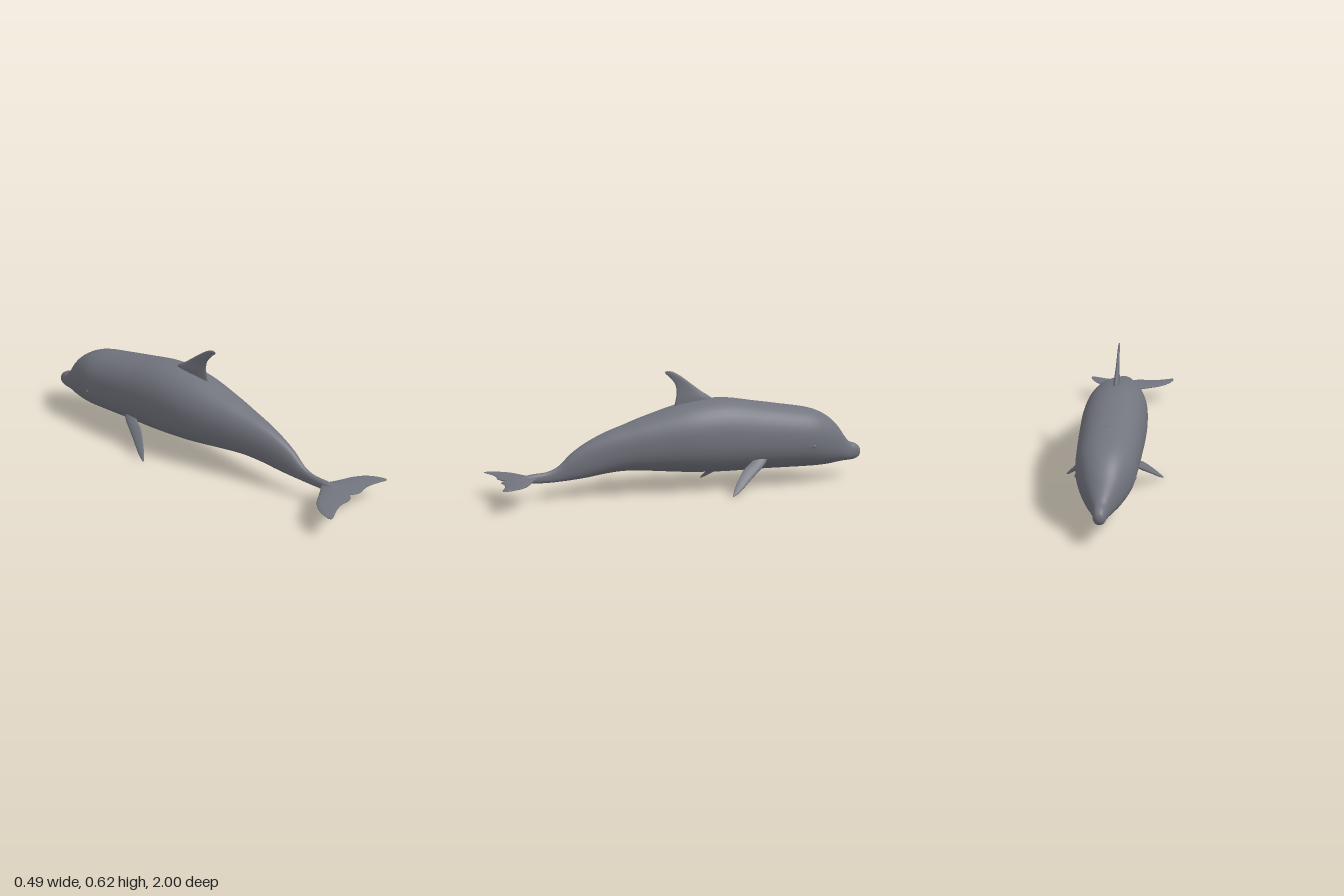
import * as THREE from 'three';

const skin = new THREE.MeshStandardMaterial({ color: 0x72747e });
skin.name = 'slate grey skin';

// Closed smooth surface through a list of point rings, always wound outwards
function loft(name, rings) {
  const n = rings[0].length, pos = [], idx = [];
  rings.forEach(r => r.forEach(p => pos.push(p.x, p.y, p.z)));
  for (let i = 0; i < rings.length - 1; i++) {
    for (let j = 0; j < n; j++) {
      const a = i * n + j, b = i * n + (j + 1) % n;
      idx.push(a, b, a + n, b, b + n, a + n);
    }
  }
  const cap = (row, flip) => {
    const c = new THREE.Vector3();
    rings[row].forEach(p => c.addScaledVector(p, 1 / n));
    const centre = pos.length / 3;
    pos.push(c.x, c.y, c.z);
    for (let j = 0; j < n; j++) {
      const a = row * n + j, b = row * n + (j + 1) % n;
      idx.push(centre, flip ? b : a, flip ? a : b);
    }
  };
  cap(0, true);
  cap(rings.length - 1, false);

  // A negative enclosed volume means the faces point inwards
  const v = i => new THREE.Vector3().fromArray(pos, i * 3);
  let volume = 0;
  for (let i = 0; i < idx.length; i += 3) volume += v(idx[i]).dot(v(idx[i + 1]).cross(v(idx[i + 2])));
  if (volume < 0) idx.reverse();

  const geo = new THREE.BufferGeometry();
  geo.setAttribute('position', new THREE.Float32BufferAttribute(pos, 3));
  geo.setIndex(idx);
  geo.computeVertexNormals();
  const mesh = new THREE.Mesh(geo, skin);
  mesh.name = name;
  return mesh;
}

// Smoothly resample a table of rows, column by column
function resample(rows, steps) {
  const curves = rows[0].map((_, c) => new THREE.SplineCurve(rows.map((r, i) => new THREE.Vector2(i, r[c]))));
  return Array.from({ length: steps + 1 }, (_, i) => curves.map(c => c.getPoint(i / steps).y));
}

// Streamlined fin section from leading to trailing edge
function finRing(lead, trail, normal, half, n = 16) {
  return Array.from({ length: n }, (_, j) => {
    const a = (j / n) * Math.PI * 2;
    const t = (1 - Math.cos(a)) / 2;
    return lead.clone().lerp(trail, t).addScaledVector(normal, half * Math.sin(a) * (1.25 - 0.6 * t));
  });
}

// Body stations: z, bottom, top, half width
const BODY = [
  [-0.998, 0.136, 0.152, 0.008], [-0.99, 0.118, 0.172, 0.022], [-0.965, 0.104, 0.19, 0.031],
  [-0.93, 0.1, 0.203, 0.037], [-0.9, 0.099, 0.235, 0.052], [-0.85, 0.095, 0.3, 0.083],
  [-0.8, 0.089, 0.346, 0.106], [-0.74, 0.086, 0.38, 0.127], [-0.67, 0.086, 0.402, 0.143],
  [-0.55, 0.088, 0.422, 0.151], [-0.4, 0.09, 0.446, 0.158], [-0.2, 0.09, 0.474, 0.163],
  [0, 0.1, 0.456, 0.153], [0.2, 0.119, 0.402, 0.115], [0.32, 0.126, 0.362, 0.088],
  [0.42, 0.119, 0.328, 0.066], [0.52, 0.104, 0.282, 0.046], [0.6, 0.096, 0.23, 0.031],
  [0.66, 0.092, 0.174, 0.02], [0.72, 0.09, 0.146, 0.016], [0.8, 0.092, 0.138, 0.02],
  [0.86, 0.104, 0.128, 0.016], [0.89, 0.112, 0.12, 0.005],
];

function makeBody() {
  const N = 40, e = 2 / 2.25;
  const bend = s => Math.sign(s) * Math.abs(s) ** e;
  return loft('body', resample(BODY, 110).map(([z, low, high, w]) =>
    Array.from({ length: N }, (_, j) => {
      const a = (j / N) * Math.PI * 2;
      return new THREE.Vector3(w * bend(Math.cos(a)), (low + high) / 2 + (high - low) / 2 * bend(Math.sin(a)), z);
    })));
}

// Dorsal fin rows: y, leading z, trailing z, half thickness
const DORSAL = [
  [0.44, -0.18, 0.055, 0.015], [0.48, -0.142, 0.046, 0.014], [0.515, -0.088, 0.042, 0.01],
  [0.555, -0.035, 0.05, 0.007], [0.59, 0.012, 0.077, 0.006], [0.61, 0.043, 0.1, 0.005],
  [0.62, 0.064, 0.102, 0.004], [0.624, 0.08, 0.092, 0.002],
];

function makeDorsalFin() {
  const normal = new THREE.Vector3(1, 0, 0);
  return loft('dorsalFin', resample(DORSAL, 28).map(([y, a, b, h]) =>
    finRing(new THREE.Vector3(0, y, a), new THREE.Vector3(0, y, b), normal, h)));
}

// Flipper rows: leading z and y, trailing z and y, half thickness
const FLIPPER = [
  [-0.41, 0.16, -0.34, 0.185, 0.011], [-0.383, 0.133, -0.32, 0.154, 0.011],
  [-0.34, 0.104, -0.275, 0.126, 0.01], [-0.29, 0.071, -0.238, 0.091, 0.008],
  [-0.24, 0.036, -0.202, 0.05, 0.006], [-0.205, 0.015, -0.184, 0.024, 0.004],
  [-0.179, 0.003, -0.173, 0.006, 0.001],
];

function makeFlipper(side, name) {
  const point = (z, y) => new THREE.Vector3(side * (0.13 + (0.155 - y) * 0.77), y, z);
  const normal = new THREE.Vector3(side * 0.79, 0.61, 0);
  return loft(name, resample(FLIPPER, 28).map(([z0, y0, z1, y1, h]) =>
    finRing(point(z0, y0), point(z1, y1), normal, h)));
}

// Half fluke rows: x, leading z, trailing z, half thickness
const FLUKE = [
  [0, 0.775, 0.94, 0.012], [0.02, 0.782, 0.955, 0.012], [0.05, 0.8, 0.966, 0.01],
  [0.1, 0.826, 0.96, 0.008], [0.15, 0.85, 0.968, 0.006], [0.195, 0.886, 0.985, 0.005],
  [0.225, 0.93, 0.997, 0.003], [0.239, 0.972, 0.995, 0.002],
];

function makeFlukes() {
  const mirrored = FLUKE.slice(1).reverse().map(([x, ...rest]) => [-x, ...rest]);
  const normal = new THREE.Vector3(0, 1, 0);
  return loft('tailFlukes', resample([...mirrored, ...FLUKE], 56).map(([x, a, b, h]) =>
    finRing(new THREE.Vector3(x, 0.115, a), new THREE.Vector3(x, 0.115, b), normal, h)));
}

export function createModel() {
  const model = new THREE.Group();
  model.name = 'dolphin';
  model.add(makeBody(), makeDorsalFin(), makeFlukes());

  for (const [side, label] of [[1, 'left'], [-1, 'right']]) {
    model.add(makeFlipper(side, label + 'Flipper'));
    const eye = new THREE.Mesh(new THREE.SphereGeometry(0.01, 14, 10), skin);
    eye.name = label + 'Eye';
    eye.position.set(side * 0.137, 0.212, -0.668);
    model.add(eye);
  }

  // Blowhole: a slim raised lip on top of the head
  const blowhole = new THREE.Mesh(new THREE.SphereGeometry(1, 14, 8), skin);
  blowhole.name = 'blowhole';
  blowhole.scale.set(0.018, 0.003, 0.005);
  blowhole.position.set(0, 0.421, -0.55);
  model.add(blowhole);

  return model;
}
